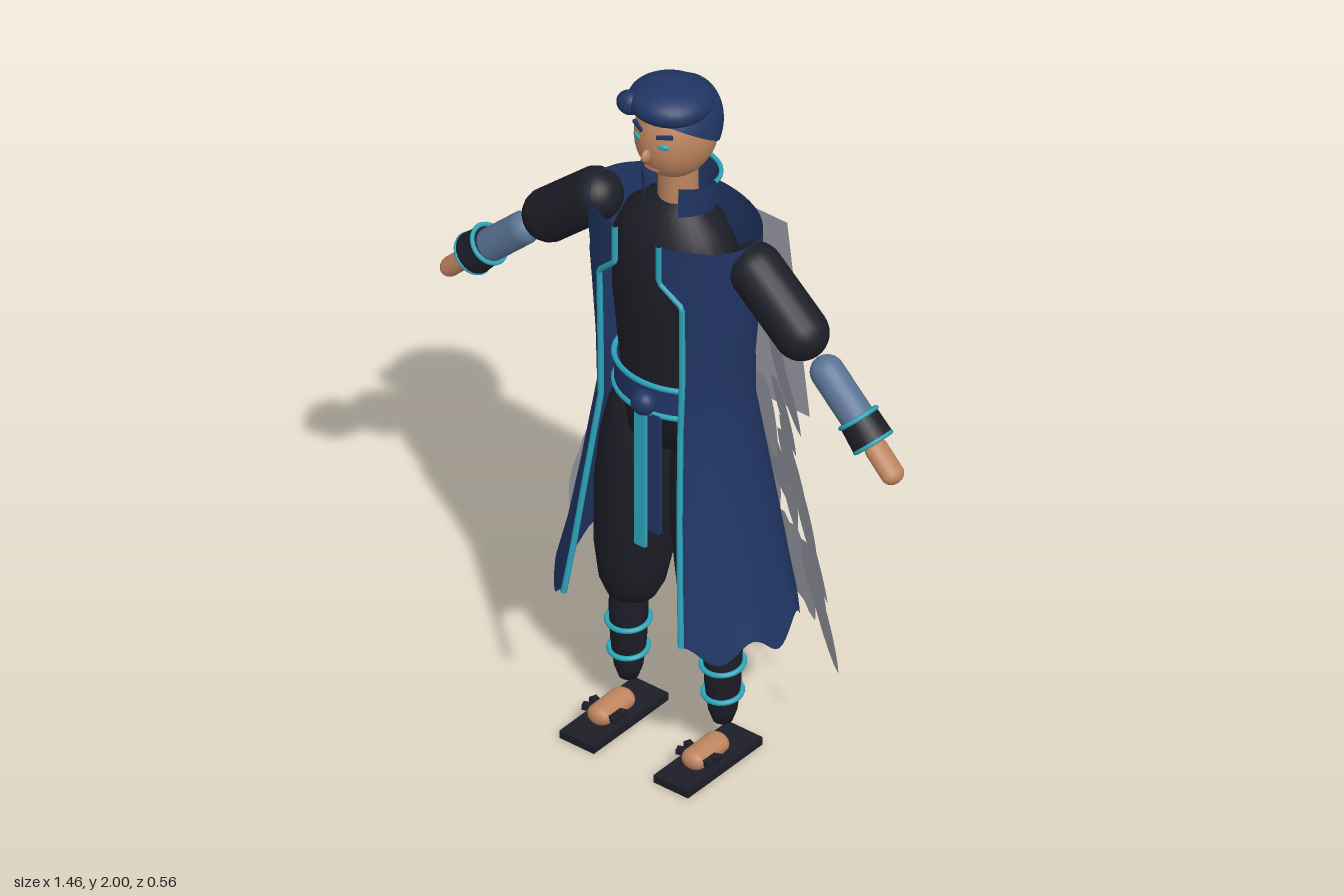
import * as THREE from 'three';

const mat = (name, color, side = THREE.FrontSide) => {
  const m = new THREE.MeshStandardMaterial({ color, side });
  m.name = name;
  return m;
};
const V = (x, y, z) => new THREE.Vector3(x, y, z);

export function createModel() {
  const root = new THREE.Group();
  const navy = mat('navy cloth', 0x213564, THREE.DoubleSide);
  const black = mat('black cloth', 0x1d1d27);
  const teal = mat('teal trim', 0x2ca6bc);
  const skin = mat('skin', 0xbd845f);
  const steel = mat('steel blue sleeve', 0x5a7394);
  const grey = mat('grey feathers', 0x9d9da9, THREE.DoubleSide);
  const lip = mat('lips', 0x9a6450);

  const add = (name, geo, material, x = 0, y = 0, z = 0, parent = root) => {
    const m = new THREE.Mesh(geo, material);
    m.name = name;
    m.position.set(x, y, z);
    parent.add(m);
    return m;
  };
  const ball = (name, material, x, y, z, rx, ry, rz) => {
    const m = add(name, new THREE.SphereGeometry(1, 28, 18), material, x, y, z);
    m.scale.set(rx, ry, rz);
    return m;
  };
  const box = (name, material, x, y, z, w, h, d) =>
    add(name, new THREE.BoxGeometry(w, h, d), material, x, y, z);
  const lathe = (pts) =>
    new THREE.LatheGeometry(pts.map(([y, r]) => new THREE.Vector2(r, y)), 28);
  // Put a mesh between two points, its y axis along them
  const along = (m, a, b) => {
    m.position.copy(a).add(b).multiplyScalar(0.5);
    m.quaternion.setFromUnitVectors(V(0, 1, 0), b.clone().sub(a).normalize());
    return m;
  };
  const capsule = (name, material, a, b, r) =>
    along(add(name, new THREE.CapsuleGeometry(r, a.distanceTo(b), 8, 20), material), a, b);
  const tube = (name, material, pts, r) =>
    add(name, new THREE.TubeGeometry(
      new THREE.CatmullRomCurve3(pts, false, 'catmullrom', 0), 80, r, 6), material);

  // Open elliptical sheet from rows of [y, rx, rz, centre z, half gap at the front]
  const sheetPoint = ([y, rx, rz, cz, gap], t) => {
    const a0 = Math.asin(gap / rx);
    const a = a0 + t * (2 * Math.PI - 2 * a0);
    return V(rx * Math.sin(a), y, cz + rz * Math.cos(a));
  };
  const sheet = (rows, cols, wave = 0) => {
    const pos = [], idx = [];
    rows.forEach((row, r) => {
      for (let c = 0; c <= cols; c++) {
        const p = sheetPoint(row, c / cols);
        if (r === rows.length - 1) p.y += wave * Math.cos(c / cols * 16 * Math.PI);
        pos.push(p.x, p.y, p.z);
        if (r && c) {
          const d = r * (cols + 1) + c, u = d - cols - 1;
          idx.push(u - 1, d - 1, u, u, d - 1, d);
        }
      }
    });
    const g = new THREE.BufferGeometry();
    g.setAttribute('position', new THREE.Float32BufferAttribute(pos, 3));
    g.setIndex(idx);
    g.computeVertexNormals();
    return g;
  };

  // Head, hair and face
  ball('head', skin, 0, 1.845, 0.065, 0.1, 0.131, 0.118);
  add('neck', new THREE.CylinderGeometry(0.05, 0.052, 0.16, 24), skin, 0, 1.68, 0.06);
  const hair = add('hair', new THREE.SphereGeometry(1, 28, 14, 0, Math.PI * 2, 0, Math.PI / 2),
    navy, 0, 1.85, 0.062);
  hair.scale.set(0.105, 0.135, 0.125);
  hair.rotation.x = -0.6;
  ball('hairTop', navy, 0, 1.945, 0.09, 0.107, 0.053, 0.11).rotation.x = -0.08;
  ball('hairLock', navy, -0.07, 1.945, 0.165, 0.035, 0.032, 0.03);
  ball('nose', skin, 0, 1.825, 0.186, 0.01, 0.018, 0.018);
  ball('mouth', lip, 0, 1.775, 0.164, 0.024, 0.005, 0.008);
  for (const s of [-1, 1]) {
    ball('eye', teal, s * 0.042, 1.86, 0.17, 0.016, 0.008, 0.006).rotation.y = s * 0.4;
    const brow = box('eyebrow', navy, s * 0.042, 1.888, 0.166, 0.042, 0.009, 0.009);
    brow.rotation.set(0, s * 0.4, s * 0.12);
  }

  // Shirt
  add('torso', lathe([[0.93, 0], [0.94, 0.14], [1.1, 0.15], [1.35, 0.175], [1.5, 0.175],
    [1.58, 0.14], [1.63, 0.085], [1.645, 0.05]]), black, 0, 0, 0.07).scale.z = 0.75;

  // Long open coat with trimmed front edges
  const coat = [
    [1.6, 0.246, 0.16, 0.07, 0.07], [1.49, 0.246, 0.16, 0.07, 0.07],
    [1.43, 0.24, 0.165, 0.07, 0.132], [1.2, 0.215, 0.17, 0.07, 0.13],
    [1.05, 0.208, 0.18, 0.066, 0.127], [0.8, 0.25, 0.22, 0.065, 0.15],
    [0.6, 0.29, 0.245, 0.065, 0.17], [0.43, 0.33, 0.262, 0.065, 0.187]];
  add('coat', sheet(coat, 96, 0.028), navy);
  for (const t of [0, 1]) {
    const edge = coat.map((row) => sheetPoint(row, t));
    edge[edge.length - 1].y += 0.028;
    tube('coatTrim', teal, edge, 0.008);
  }

  // Standing collar
  const collar = [[1.715, 0.107, 0.09, 0.05, 0.055], [1.59, 0.088, 0.085, 0.055, 0.05]];
  add('collar', sheet(collar, 40), navy);
  const rim = [];
  for (let i = 0; i <= 24; i++) rim.push(sheetPoint(collar[0], 0.2 + 0.6 * i / 24));
  tube('collarTrim', teal, rim, 0.006);

  // Sash, knot and hanging ends
  const ring = (name, r, thick, x, y, z) => {
    const m = add(name, new THREE.TorusGeometry(r, thick, 8, 40), teal, x, y, z);
    m.rotation.x = Math.PI / 2;
    return m;
  };
  add('sash', new THREE.CylinderGeometry(0.165, 0.165, 0.09, 40, 1, true), navy,
    0, 1.1, 0.07).scale.z = 0.8;
  for (const y of [1.058, 1.142]) ring('sashTrim', 0.166, 0.008, 0, y, 0.07).scale.y = 0.8;
  ball('sashKnot', navy, 0.02, 1.1, 0.222, 0.034, 0.034, 0.03);
  box('sashEnd', teal, -0.002, 0.865, 0.205, 0.034, 0.44, 0.012);
  box('sashEnd', navy, 0.038, 0.88, 0.2, 0.036, 0.36, 0.012);

  for (const s of [-1, 1]) {
    const P = (x, y, z = 0.07) => V(s * x, y, z);
    // Arm
    capsule('upperArm', black, P(0.255, 1.528), P(0.4, 1.4), 0.071);
    capsule('forearm', steel, P(0.485, 1.32, 0.072), P(0.58, 1.23, 0.075), 0.044);
    const a = P(0.588, 1.228, 0.077), b = P(0.637, 1.178, 0.08);
    along(add('cuff', new THREE.CylinderGeometry(0.052, 0.056, a.distanceTo(b), 24), black), b, a);
    const dir = a.clone().sub(b).normalize();
    for (const p of [a, b]) {
      add('cuffTrim', new THREE.TorusGeometry(0.052, 0.006, 8, 28), teal, p.x, p.y, p.z)
        .quaternion.setFromUnitVectors(V(0, 0, 1), dir);
    }
    capsule('hand', skin, P(0.65, 1.165, 0.083), P(0.703, 1.113, 0.085), 0.026).scale.z = 1.25;

    // Leg
    const pants = add('trouserLeg', lathe([[-0.35, 0], [-0.345, 0.065], [-0.3, 0.085],
      [-0.2, 0.101], [0, 0.11], [0.15, 0.102], [0.25, 0.085], [0.32, 0.05], [0.34, 0]]),
    black, s * 0.12, 0.72, 0.07);
    pants.rotation.z = s * 0.06;
    add('shin', lathe([[0.1, 0], [0.105, 0.025], [0.14, 0.037], [0.22, 0.046], [0.32, 0.05],
      [0.42, 0.045]]), black, s * 0.15, 0, 0.07);
    [[0.28, 0.054], [0.192, 0.049]].forEach(([y, r]) => {
      ring('shinBand', r, 0.007, s * 0.15, y, 0.07).rotation.x += 0.12;
    });

    // Sandal and foot
    box('sandalSole', black, s * 0.15, 0.012, 0.128, 0.11, 0.022, 0.295);
    capsule('foot', skin, V(s * 0.15, 0.047, 0.095), V(s * 0.15, 0.045, 0.182), 0.027).scale.x = 1.3;
    for (const k of [-1, 1]) {
      box('sandalStrap', black, s * 0.15, 0.05, 0.165, 0.115, 0.014, 0.02).rotation.y = k * 0.35;
    }
  }

  // Back cape: plain panel above, hanging feathers below
  const cape = new THREE.Group();
  cape.name = 'featherCape';
  root.add(cape);
  const panel = new THREE.PlaneGeometry(1, 1, 1, 1);
  const pp = panel.attributes.position;
  for (let i = 0; i < pp.count; i++) {
    const top = pp.getY(i) > 0;
    pp.setXYZ(i, Math.sign(pp.getX(i)) * (top ? 0.22 : 0.25), top ? 1.56 : 0.95, top ? -0.098 : -0.15);
  }
  panel.computeVertexNormals();
  add('capePanel', panel, grey, 0, 0, 0, cape);

  const leaf = new THREE.Shape();
  leaf.moveTo(-0.02, 0);
  leaf.bezierCurveTo(-0.05, -0.08, -0.045, -0.2, -0.012, -0.28);
  leaf.lineTo(0.006, -0.3);
  leaf.bezierCurveTo(0.03, -0.25, 0.055, -0.1, 0.02, 0);
  const feather = new THREE.ShapeGeometry(leaf, 8);
  let seed = 7;
  const rnd = () => (seed = (seed * 16807) % 2147483647) / 2147483647 - 0.5;
  // Rows of [top y, half width, count]
  const rows = [[1.36, 0.2, 2], [1.22, 0.225, 2], [1.05, 0.25, 8], [0.9, 0.28, 8],
    [0.76, 0.32, 9], [0.62, 0.36, 10]];
  for (const [y, hw, n] of rows) {
    const zc = -0.11 - 0.16 * (1.25 - y);
    for (let i = 0; i < n; i++) {
      const u = (i / (n - 1)) * 2 - 1;
      const f = add('feather', feather, grey, u * hw + rnd() * 0.025, y + rnd() * 0.08,
        zc + u * u * (-0.025 - zc) + rnd() * 0.015, cape);
      f.rotation.set(0.17 + rnd() * 0.08, -u * 0.45 + rnd() * 0.2, u * 0.13 + rnd() * 0.16, 'YXZ');
      f.scale.set(0.9 + rnd() * 0.3, 0.95 + rnd() * 0.25, 1);
    }
  }
  return root;
}
